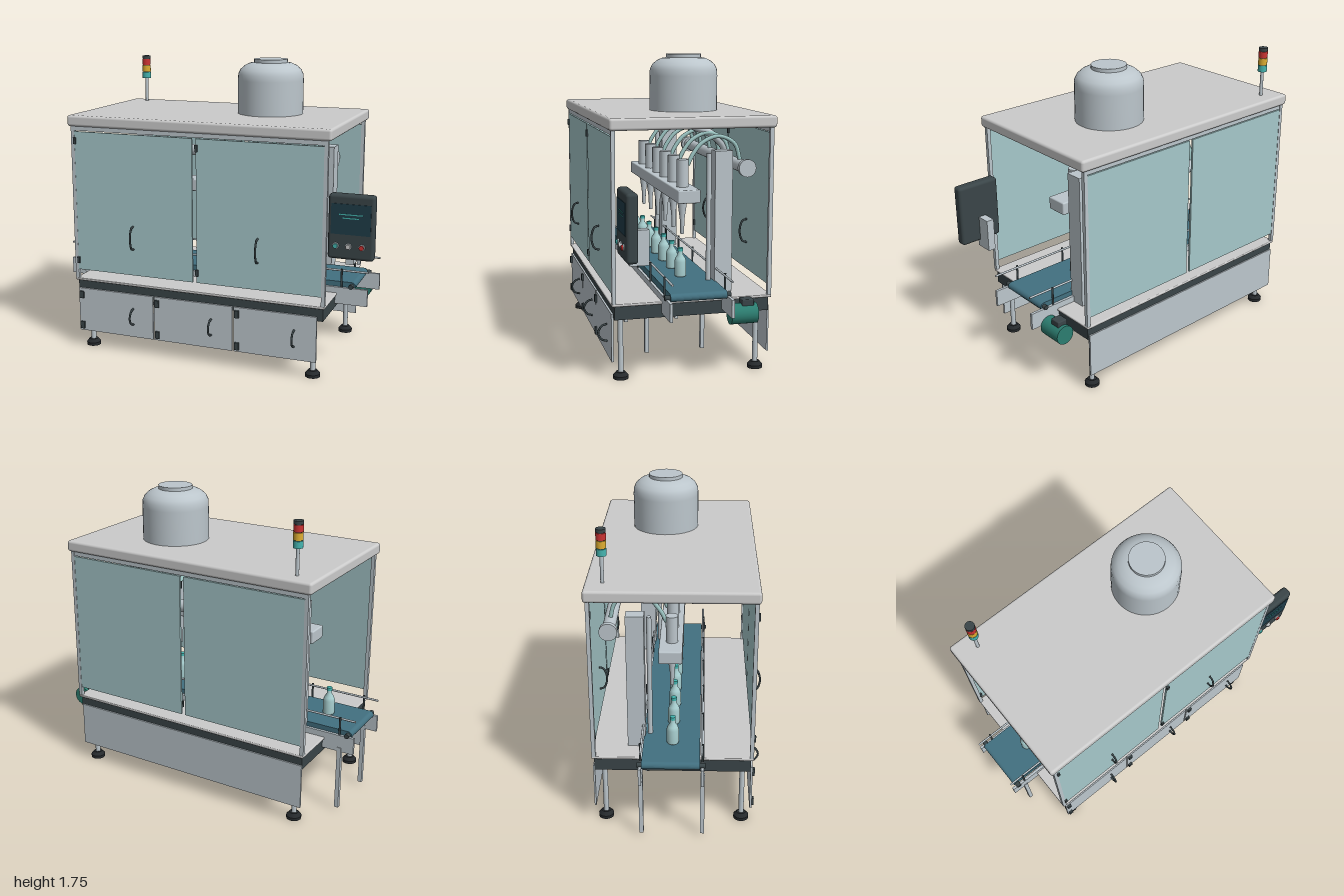
import * as THREE from 'three';
import { RoundedBoxGeometry } from 'three/addons/geometries/RoundedBoxGeometry.js';

const mat = (color) => new THREE.MeshStandardMaterial({ color, side: THREE.DoubleSide });
const grey = mat(0xcccccc), steel = mat(0xbcc6cc), dark = mat(0x3a4548), black = mat(0x25292c);
const glass = mat(0xa6c8ca), belt = mat(0x427080), teal = mat(0x2c7d70), cyan = mat(0x45b5b0);
const red = mat(0xcc3333), yellow = mat(0xdfae32), hoseMat = mat(0x9cc4c2), bottleMat = mat(0xa8cfd0);

export function createModel() {
  const root = new THREE.Group();
  const CX = -0.04; // middle of the enclosure

  const add = (name, geo, m, x = 0, y = 0, z = 0) => {
    const mesh = new THREE.Mesh(geo, m);
    mesh.name = name;
    mesh.position.set(x, y, z);
    root.add(mesh);
    return mesh;
  };
  // Box given by its limits on each axis, optionally rounded
  const box = (name, m, [x0, x1], [y0, y1], [z0, z1], r = 0) => {
    const s = [x1 - x0, y1 - y0, z1 - z0];
    const geo = r ? new RoundedBoxGeometry(...s, 3, r) : new THREE.BoxGeometry(...s);
    return add(name, geo, m, (x0 + x1) / 2, (y0 + y1) / 2, (z0 + z1) / 2);
  };
  // Upright cylinder from y0 to y1
  const rod = (name, m, x, z, y0, y1, r, rTop = r) =>
    add(name, new THREE.CylinderGeometry(rTop, r, y1 - y0, 24), m, x, (y0 + y1) / 2, z);
  // Lying cylinder along x or z
  const bar = (name, m, axis, len, r, x, y, z) => {
    const mesh = add(name, new THREE.CylinderGeometry(r, r, len, 24), m, x, y, z);
    if (axis === 'x') mesh.rotation.z = Math.PI / 2;
    else mesh.rotation.x = Math.PI / 2;
    return mesh;
  };
  const tube = (name, m, pts, r) => add(name, new THREE.TubeGeometry(
    new THREE.CatmullRomCurve3(pts.map((p) => new THREE.Vector3(...p))), 28, r, 10), m);
  const lathe = (name, m, pts, x, y, z) => add(name,
    new THREE.LatheGeometry(pts.map((p) => new THREE.Vector2(...p)), 40), m, x, y, z);
  const handle = (name, x, y0, y1, z, depth) => tube(name, dark, [
    [x, y0, z], [x, y0 + 0.01, z + depth * 0.6], [x, (y0 + y1) / 2, z + depth],
    [x, y1 - 0.01, z + depth * 0.6], [x, y1, z]], 0.006);

  // Roof
  box('roof', grey, [-0.84, 0.76], [1.37, 1.435], [-0.48, 0.44], 0.015);

  // Product tank with lid
  lathe('tank', steel, [[0.195, 0], [0.195, 0.2], [0.193, 0.235], [0.18, 0.262], [0.155, 0.284],
    [0.125, 0.298], [0.1, 0.302]], 0.245, 1.433, -0.09);
  rod('tankLid', steel, 0.245, -0.09, 1.72, 1.755, 0.1);

  // Signal tower
  rod('signalPole', steel, -0.71, -0.385, 1.43, 1.59, 0.01);
  [[cyan, 1.585, 1.623], [yellow, 1.627, 1.667], [red, 1.671, 1.708], [dark, 1.712, 1.73]]
    .forEach(([m, a, b]) => rod('signalLight', m, -0.71, -0.385, a, b, 0.027));
  rod('signalCore', dark, -0.71, -0.385, 1.585, 1.72, 0.022);

  // Base frame and table top
  box('baseFrame', dark, [-0.81, 0.73], [0.35, 0.425], [-0.455, 0.415]);
  box('tableTop', grey, [-0.82, 0.74], [0.425, 0.44], [-0.47, 0.43], 0.005);

  // Machine legs with feet
  for (const x of [-0.745, 0.665]) for (const z of [0.37, -0.405]) {
    rod('leg', steel, x, z, 0.03, 0.36, 0.015);
    rod('foot', black, x, z, 0, 0.018, 0.043);
    rod('footTop', black, x, z, 0.018, 0.038, 0.043, 0.026);
  }

  // Corner posts and top beams
  for (const z of [0.418, -0.457]) {
    for (const x of [-0.81, 0.73]) box('cornerPost', steel, [x - 0.011, x + 0.011], [0.44, 1.38], [z - 0.011, z + 0.011]);
    box('topBeam', steel, [-0.81, 0.73], [1.345, 1.375], [z - 0.008, z + 0.008]);
  }

  // Glazed doors, two on each long side
  for (const z of [0.422, -0.46]) for (const x of [-0.80, -0.025]) {
    box('glassDoor', glass, [x, x + 0.75], [0.495, 1.34], [z - 0.006, z + 0.006]);
    for (const y of [0.555, 1.285])
      box('doorHinge', dark, [x - 0.004, x + 0.012], [y - 0.02, y + 0.02], [z + 0.004, z + 0.016]);
    handle('doorHandle', x + 0.372, 0.655, 0.795, z + 0.006, 0.044);
  }

  // Lower cabinet doors and rear panel
  for (const x of [-0.805, -0.302, 0.202]) {
    box('cabinetDoor', steel, [x, x + 0.495], [0.105, 0.375], [0.414, 0.426]);
    for (const y of [0.14, 0.335])
      box('cabinetHinge', dark, [x + 0.008, x + 0.034], [y - 0.022, y + 0.022], [0.424, 0.438]);
    handle('cabinetHandle', x + 0.365, 0.185, 0.283, 0.426, 0.05);
  }
  box('rearPanel', steel, [-0.81, 0.72], [0.11, 0.375], [-0.463, -0.453]);

  // Conveyor: side rails, belt loop, shafts and legs
  const loop = new THREE.Shape();
  loop.absarc(0.823, 0, 0.022, -Math.PI / 2, Math.PI / 2);
  loop.absarc(-0.958, 0, 0.022, Math.PI / 2, Math.PI * 1.5);
  add('conveyorBelt', new THREE.ExtrudeGeometry(loop, { depth: 0.315, bevelEnabled: false }), belt, 0, 0.482, -0.183);
  for (const z of [0.147, -0.192]) {
    const out = z > 0 ? 1 : -1;
    box('conveyorRail', steel, [-1, 0.92], [0.375, 0.475], [z - 0.008, z + 0.008]);
    bar('guideRail', steel, 'x', 1.92, 0.006, -0.04, 0.575, z - out * 0.006);
    for (let i = 0; i < 6; i++) rod('guidePost', dark, -0.91 + i * 0.335, z, 0.47, 0.585, 0.006);
    for (const x of [-0.958, 0.823]) bar('shaftEnd', dark, 'z', 0.03, 0.014, x, 0.482, z);
    for (const x of [-0.915, -0.3, 0.317])
      box('conveyorLeg', steel, [x - 0.012, x + 0.012], [0.015, 0.4], [z - 0.012, z + 0.012]);
  }

  // Drive motor
  bar('motor', teal, 'z', 0.15, 0.057, 0.81, 0.367, -0.28);
  box('motorTerminalBox', dark, [0.777, 0.84], [0.41, 0.45], [-0.335, -0.268], 0.006);

  // Filling carriage: columns, guide rods and manifold
  for (const x of [-0.66, 0.58]) {
    box('column', steel, [x - 0.04, x + 0.04], [0.44, 1.235], [-0.275, -0.175]);
    rod('guideRod', steel, x, -0.15, 0.44, 1.22, 0.014);
  }
  box('manifold', steel, [-0.68, 0.6], [0.945, 1.02], [-0.1, 0.03], 0.008);

  // Header pipe with end flanges, fed from the tank
  bar('headerPipe', steel, 'x', 1.26, 0.036, CX, 1.13, -0.37);
  for (const s of [-1, 1]) bar('headerFlange', steel, 'x', 0.03, 0.05, CX + s * 0.62, 1.13, -0.37);
  tube('feedPipe', steel, [[0.245, 1.38, -0.08], [0.245, 1.335, -0.16], [0.245, 1.29, -0.26],
    [0.245, 1.22, -0.335], [0.245, 1.13, -0.37]], 0.024);

  // Filling heads with hoses
  const heads = [-0.54, -0.34, -0.14, 0.06, 0.26, 0.46];
  for (const x of heads) {
    rod('fillerBody', steel, x, -0.03, 1.02, 1.175, 0.034);
    lathe('nozzle', steel, [[0.028, 0.2], [0.027, 0.18], [0.013, 0.08], [0.011, 0], [0, 0]], x, 0.75, -0.03);
    tube('hose', hoseMat, [[x, 1.14, -0.06], [x, 1.2, -0.09], [x, 1.265, -0.145], [x, 1.3, -0.24],
      [x, 1.255, -0.335], [x, 1.15, -0.37]], 0.012);
  }

  // Bottles on the belt
  for (const x of [-0.76, ...heads]) {
    lathe('bottle', bottleMat, [[0, 0], [0.031, 0], [0.034, 0.008], [0.034, 0.085], [0.028, 0.105],
      [0.015, 0.125], [0.014, 0.148]], x, 0.504, -0.02);
    rod('bottleCap', cyan, x, -0.02, 0.65, 0.668, 0.016);
  }

  // Control panel on its bracket
  box('panelBracket', steel, [0.835, 0.88], [0.68, 0.87], [0.255, 0.36]);
  box('controlPanel', dark, [0.74, 0.997], [0.717, 1.08], [0.337, 0.4], 0.018);
  box('screen', mat(0x1f3c48), [0.758, 0.978], [0.86, 1.03], [0.39, 0.404]);
  for (const [x, y, w] of [[0.868, 0.972, 0.13], [0.868, 0.952, 0.09]])
    box('screenBar', cyan, [x - w / 2, x + w / 2], [y - 0.003, y + 0.003], [0.4, 0.406]);
  [[0.787, cyan], [0.858, grey], [0.932, red]].forEach(([x, m]) => {
    bar('buttonRing', steel, 'z', 0.01, 0.018, x, 0.794, 0.402);
    bar('button', m, 'z', 0.02, 0.013, x, 0.794, 0.406);
  });

  return root;
}
